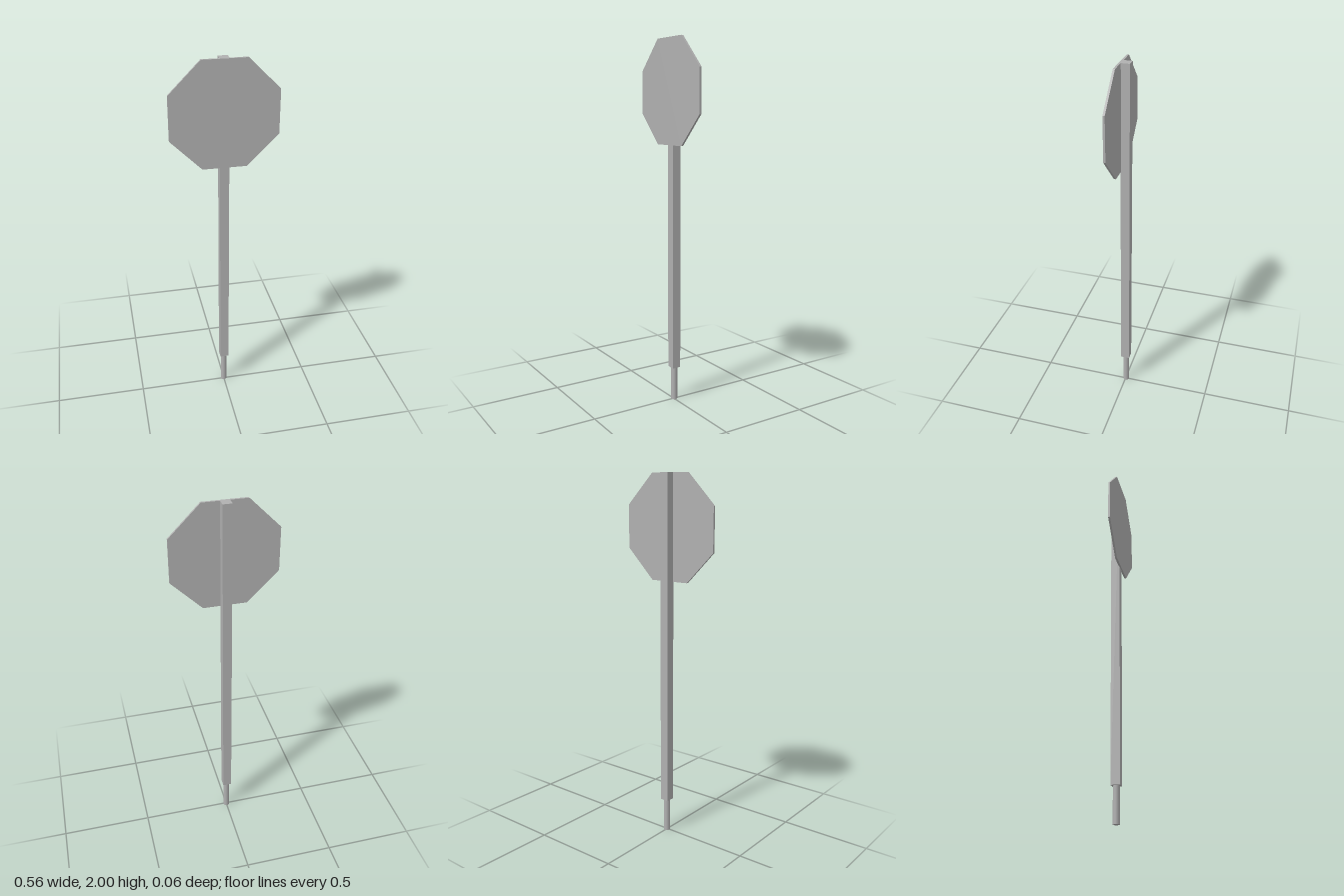
import * as THREE from 'three';

const metal = new THREE.MeshStandardMaterial({ color: 0xb0b0b0 });
metal.name = 'grey metal';

function add(group, name, geometry, x, y, z) {
  const mesh = new THREE.Mesh(geometry, metal);
  mesh.name = name;
  mesh.position.set(x, y, z);
  group.add(mesh);
}

export function createModel() {
  const group = new THREE.Group();
  group.name = 'octagonalSign';

  // Regular octagon panel with flat top and sides
  const apothem = 0.281;
  const radius = apothem / Math.cos(Math.PI / 8);
  const corners = Array.from({ length: 8 }, (_, i) => {
    const a = Math.PI / 8 + (i * Math.PI) / 4;
    return new THREE.Vector2(radius * Math.cos(a), radius * Math.sin(a));
  });
  const panel = new THREE.ExtrudeGeometry(new THREE.Shape(corners), {
    depth: 0.011,
    bevelEnabled: false,
  });
  add(group, 'signPanel', panel, 0, 2 - apothem, 0.017);

  // Square post, its front set slightly into the panel
  const pegHeight = 0.19;
  const postHeight = 2 - pegHeight;
  add(group, 'post', new THREE.BoxGeometry(0.049, postHeight, 0.049), 0, pegHeight + postHeight / 2, -0.0035);

  // Round ground peg under the post
  add(group, 'groundPeg', new THREE.CylinderGeometry(0.0175, 0.0175, pegHeight, 20), 0, pegHeight / 2, -0.0035);

  return group;
}
